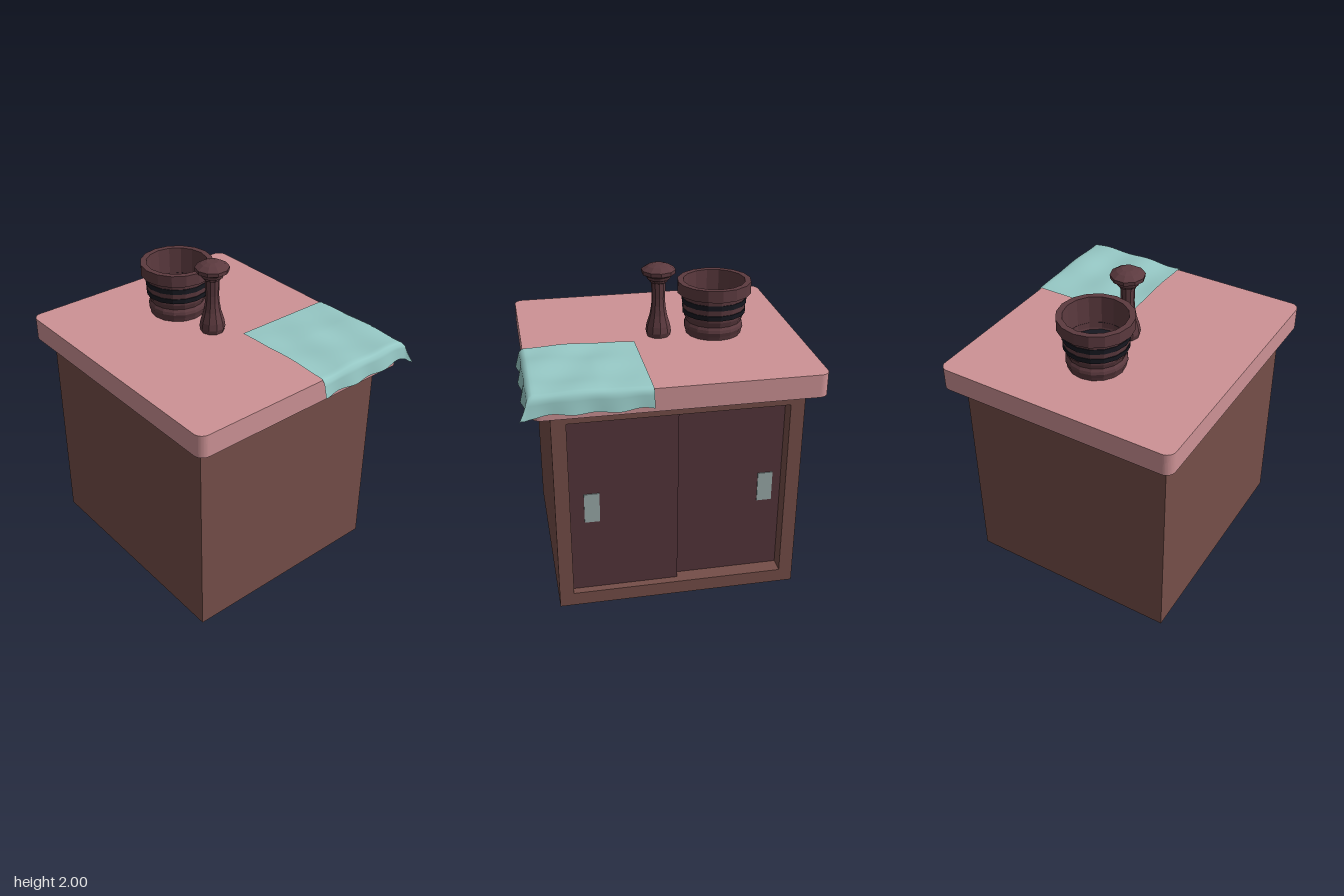
import * as THREE from 'three';

const mat = (color, extra = {}) => new THREE.MeshStandardMaterial({ color, ...extra });

export function createModel() {
  const model = new THREE.Group();
  const wood = mat(0x754e48);
  const doorWood = mat(0x55353b);
  const counter = mat(0xcd9295);
  const steel = mat(0x9aabaa);
  const turned = mat(0x5c3a3f, { flatShading: true, side: THREE.DoubleSide });
  const black = mat(0x171820, { flatShading: true });
  const cloth = mat(0x96c8c5, { side: THREE.DoubleSide });

  const add = (name, geometry, material, parent = model) => {
    const mesh = new THREE.Mesh(geometry, material);
    mesh.name = name;
    parent.add(mesh);
    return mesh;
  };
  // box given by its minimum and maximum corners
  const box = (name, a, b, material, parent) => {
    const size = b.map((v, i) => v - a[i]);
    const mesh = add(name, new THREE.BoxGeometry(...size), material, parent);
    mesh.position.set(...a.map((v, i) => v + size[i] / 2));
    return mesh;
  };
  const rectPath = (path, x0, y0, x1, y1) => {
    path.moveTo(x0, y0);
    path.lineTo(x1, y0);
    path.lineTo(x1, y1);
    path.lineTo(x0, y1);
    path.closePath();
    return path;
  };
  const lathe = (name, profile, sides, material, parent) =>
    add(name, new THREE.LatheGeometry(profile.map(p => new THREE.Vector2(...p)), sides), material, parent);

  // Cabinet: solid body with a framed recess at the back
  const cabinet = new THREE.Group();
  cabinet.name = 'cabinet';
  model.add(cabinet);
  const recess = 0.13;
  box('body', [-0.81, 0, -0.66 + recess], [0.715, 1.385, 0.73], wood, cabinet);
  const frame = rectPath(new THREE.Shape(), -0.81, 0, 0.715, 1.385);
  frame.holes.push(rectPath(new THREE.Path(), -0.722, 0.09, 0.625, 1.3));
  add('doorFrame', new THREE.ExtrudeGeometry(frame, { depth: recess, bevelEnabled: false }), wood, cabinet)
    .position.z = -0.66;

  // Sliding doors on two tracks, each with a pull plate
  const doors = [
    { side: 'left', x0: -0.05, x1: 0.625, z: -0.61, handle: 0.44 },
    { side: 'right', x0: -0.722, x1: 0, z: -0.56, handle: -0.667 },
  ];
  for (const d of doors) {
    box(d.side + 'Door', [d.x0, 0.09, d.z], [d.x1, 1.3, d.z + 0.045], doorWood, cabinet);
    box(d.side + 'Handle', [d.handle, 0.585, d.z - 0.006], [d.handle + 0.095, 0.785, d.z + 0.01], steel, cabinet);
  }

  // Countertop with rounded corners
  const [cx, cz, r] = [0.8725, 0.7875, 0.06];
  const top = new THREE.Shape();
  top.moveTo(cx, cz - r);
  [[1, 1, 0], [-1, 1, 1], [-1, -1, 2], [1, -1, 3]].forEach(([sx, sy, q]) =>
    top.absarc(sx * (cx - r), sy * (cz - r), r, q * Math.PI / 2, (q + 1) * Math.PI / 2, false));
  const topGeometry = new THREE.ExtrudeGeometry(top, { depth: 0.145, bevelEnabled: false, curveSegments: 6 });
  topGeometry.rotateX(-Math.PI / 2);
  add('countertop', topGeometry, counter).position.set(-0.0475, 1.385, 0.0275);

  // Mortar: turned bowl, heavy rim, two dark bands, dark floor
  const mortar = new THREE.Group();
  mortar.name = 'mortar';
  mortar.position.set(-0.403, 1.53, 0.025);
  model.add(mortar);
  lathe('bowl', [
    [0, 0], [0.176, 0], [0.182, 0.025], [0.19, 0.05], [0.186, 0.068], [0.176, 0.085], [0.187, 0.12],
    [0.197, 0.16], [0.202, 0.21], [0.204, 0.265], [0.234, 0.27], [0.234, 0.345],
    [0.196, 0.345], [0.19, 0.12],
  ], 16, turned, mortar);
  lathe('lowerBand', [[0.185, 0.138], [0.2, 0.138], [0.203, 0.17], [0.19, 0.17]], 16, black, mortar);
  lathe('upperBand', [[0.195, 0.205], [0.206, 0.205], [0.207, 0.238], [0.195, 0.238]], 16, black, mortar);
  const floor = add('bowlFloor', new THREE.CircleGeometry(0.19, 16), black, mortar);
  floor.rotation.x = -Math.PI / 2;
  floor.position.y = 0.122;

  // Pestle standing on its wide end
  const pestle = lathe('pestle', [
    [0, 0], [0.074, 0], [0.082, 0.03], [0.076, 0.07], [0.055, 0.14], [0.045, 0.2], [0.042, 0.25],
    [0.046, 0.35], [0.056, 0.356], [0.058, 0.368], [0.072, 0.375], [0.078, 0.395], [0.106, 0.41],
    [0.108, 0.435], [0.07, 0.459], [0.035, 0.47], [0, 0.47],
  ], 10, turned);
  pestle.position.set(-0.045, 1.53, 0.025);

  // Cloth: a sheet that lies flat, then drapes over the side and back edges
  const [edgeX, edgeZ, hang] = [0.825, 0.762, 0.115];
  const [x0, z0] = [0.128, 0.08];
  const lenX = edgeX - x0 + hang, lenZ = edgeZ - z0 + hang;
  const sheet = new THREE.PlaneGeometry(lenX, lenZ, 44, 44);
  sheet.rotateX(-Math.PI / 2);
  const pos = sheet.attributes.position;
  for (let i = 0; i < pos.count; i++) {
    const sx = pos.getX(i) + lenX / 2 + x0;   // distance along x before draping
    const sz = lenZ / 2 - pos.getZ(i) + z0;   // distance towards the back
    const ox = Math.max(0, sx - edgeX), oz = Math.max(0, sz - edgeZ);
    const inner = Math.min(1, (sx - x0) / 0.3);
    const lift = 0.008 + inner * (0.009 + 0.006 * Math.sin(sz * 19 + 2 * sx) + 0.004 * Math.sin(sx * 15 - sz * 9));
    const drop = Math.max(ox, oz) + 0.15 * Math.min(ox, oz);
    const corner = Math.min(ox, oz) / hang;
    const ripple = 0.006 * Math.sin((ox > oz ? sz : sx) * 24);
    const out = o => o > 0 ? 0.016 * Math.min(1, o / 0.02) + (0.2 + ripple * 12) * o : 0;
    pos.setXYZ(i,
      Math.min(sx, edgeX) + out(ox) + 0.03 * corner * corner,
      1.53 + lift - drop * (1 + ripple * 8),
      -(Math.min(sz, edgeZ) + 0.8 * out(oz) + 0.02 * corner * corner));
  }
  sheet.computeVertexNormals();
  add('cloth', sheet, cloth);

  return model;
}
